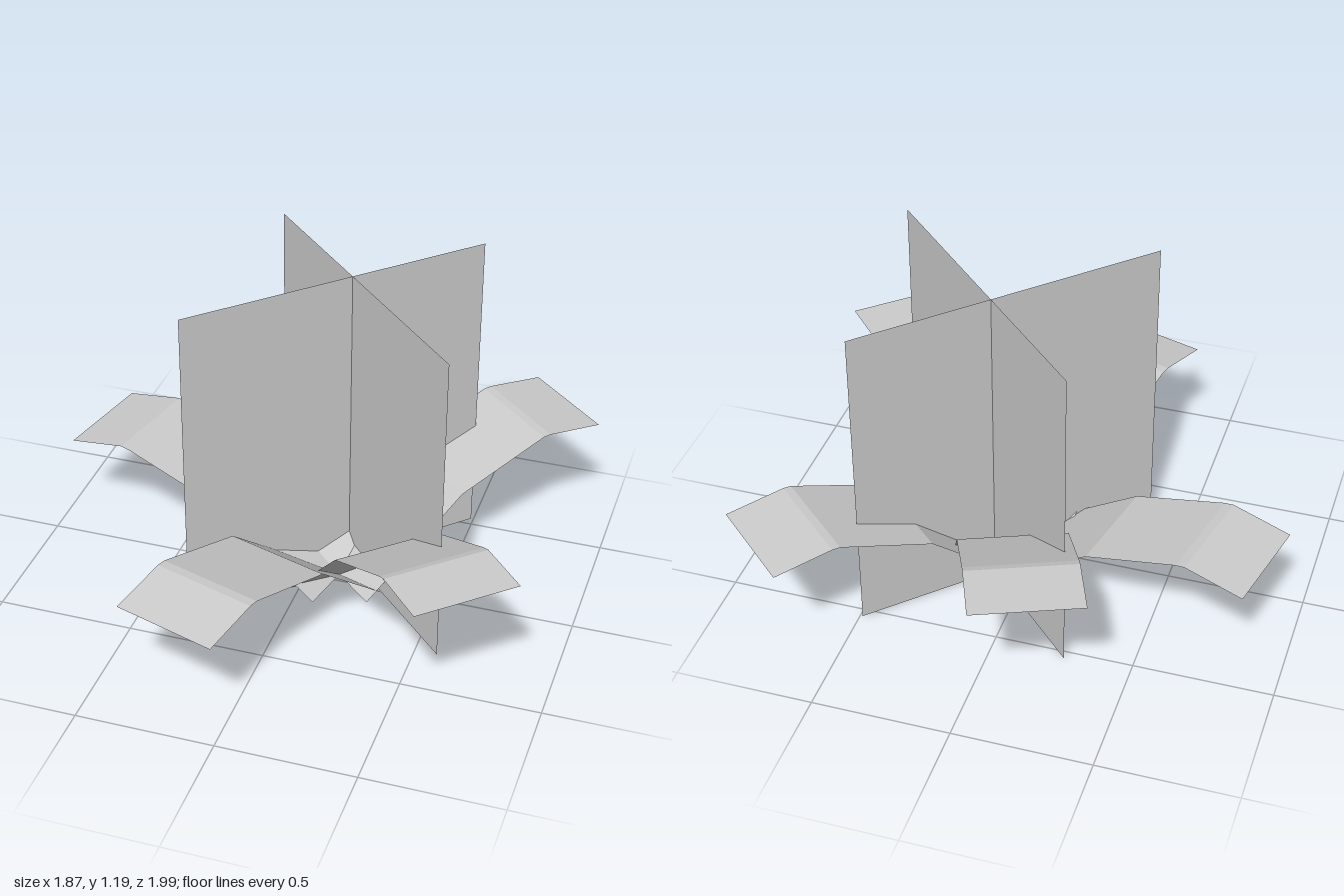
import * as THREE from 'three';

const material = new THREE.MeshStandardMaterial({
  color: 0xcccccc, flatShading: true, side: THREE.DoubleSide,
});

// Bent strip running along +z; profile points are [distance, height]
function leafGeometry(profile, width) {
  const geometry = new THREE.PlaneGeometry(width, 1, 1, profile.length - 1);
  geometry.rotateX(-Math.PI / 2);
  const pos = geometry.attributes.position;
  for (let i = 0; i < pos.count; i++) {
    const [d, h] = profile[Math.floor(i / 2)];
    pos.setY(i, h);
    pos.setZ(i, d);
  }
  const flat = geometry.toNonIndexed();
  flat.computeVertexNormals();
  return flat;
}

export function createModel() {
  const group = new THREE.Group();

  // Two upright square cards crossing at right angles
  const size = 1.19;
  [['stemCardA', 0.07, Math.PI / 4], ['stemCardB', 0.16, -Math.PI / 4]].forEach(([name, x, turn]) => {
    const card = new THREE.Mesh(new THREE.PlaneGeometry(size, size), material);
    card.name = name;
    card.position.set(x, size / 2, -0.115);
    card.rotation.y = turn;
    group.add(card);
  });

  // Five leaves fanning out from the base: heading [x, z] and bend profile
  // Profiles run from the outer tip to the base
  const high = [[0.96, 0.545], [0.74, 0.545], [0.71, 0.535], [0.372, 0.375], [0, 0]];
  const middle = [[1.0, 0.448], [0.78, 0.475], [0.75, 0.473], [0.4, 0.34], [0, 0]];
  const low = [[1.02, 0.403], [0.8, 0.442], [0.765, 0.44], [0.385, 0.32], [0, 0]];
  const lowest = [[1.04, 0.358], [0.82, 0.405], [0.785, 0.4], [0.44, 0.295], [0, 0]];
  const leaves = [
    ['frontLeaf', -0.3, 0.953, low],
    ['frontLeftLeaf', 0.675, 0.738, high],
    ['backLeftLeaf', 0.672, -0.74, middle],
    ['backLeaf', -0.38, -0.925, high],
    ['rightLeaf', -0.977, -0.215, lowest],
  ];
  for (const [name, dx, dz, profile] of leaves) {
    const leaf = new THREE.Mesh(leafGeometry(profile, 0.39), material);
    leaf.name = name;
    leaf.position.set(0.115, 0, -0.037);
    leaf.rotation.y = Math.atan2(dx, dz);
    group.add(leaf);
  }
  return group;
}
